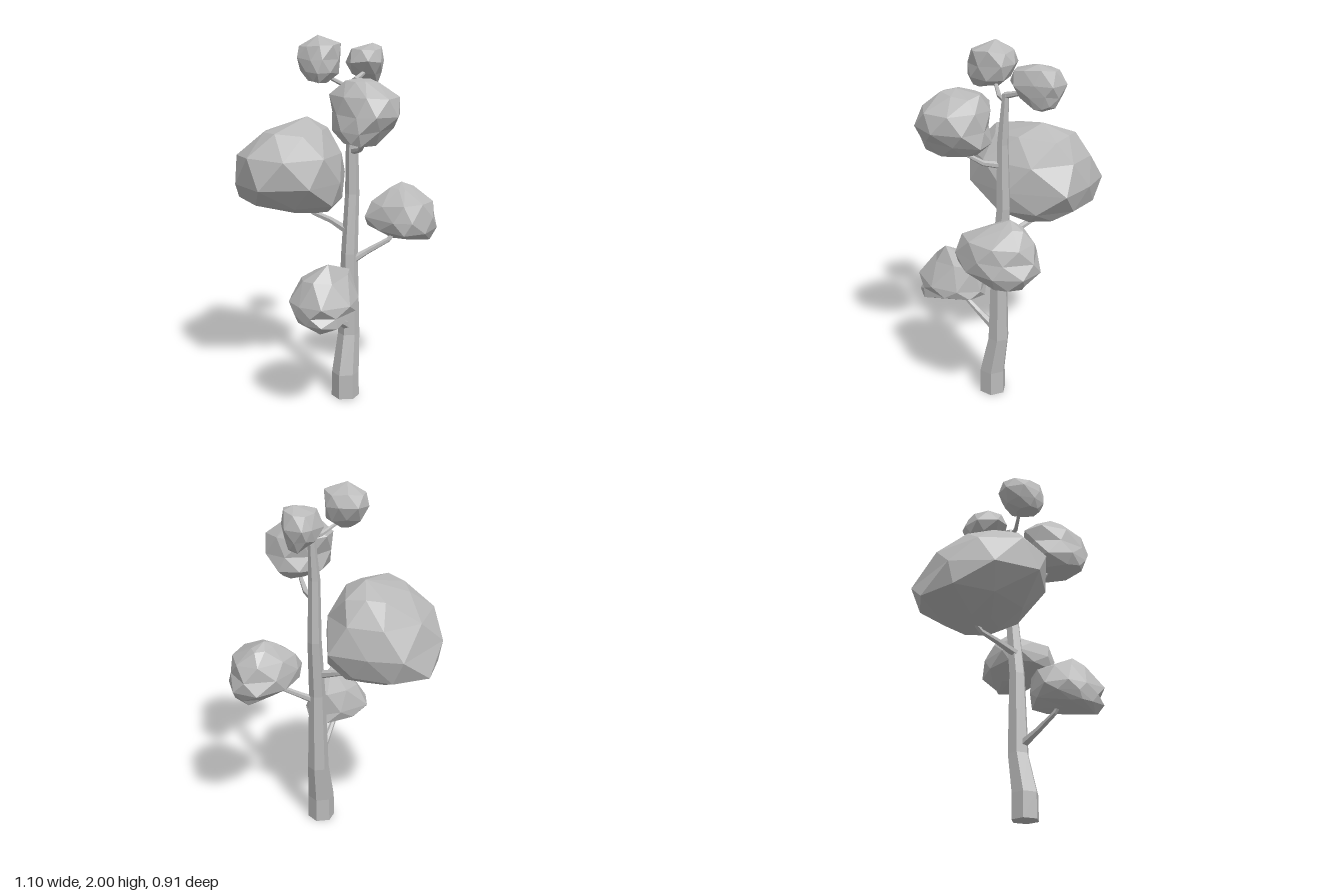
import * as THREE from 'three';

const V = (x, y, z) => new THREE.Vector3(x, y, z);

// Skins a stack of equal-count rings and closes both ends with a fan.
function loft(rings, bottom, top) {
  const out = [];
  const tri = (...pts) => pts.forEach((p) => out.push(p.x, p.y, p.z));
  const n = rings[0].length;
  const last = rings[rings.length - 1];
  for (let i = 0; i < n; i++) {
    const j = (i + 1) % n;
    tri(bottom, rings[0][i], rings[0][j]);
    for (let k = 0; k + 1 < rings.length; k++) {
      const a = rings[k], b = rings[k + 1];
      tri(a[i], b[i], a[j]);
      tri(a[j], b[i], b[j]);
    }
    tri(top, last[j], last[i]);
  }
  const g = new THREE.BufferGeometry();
  g.setAttribute('position', new THREE.Float32BufferAttribute(out, 3));
  g.computeVertexNormals();
  return g;
}

// Tapered limb along [x, y, z, radius] stations; an upright limb keeps level rings.
function limb(path, sides, upright) {
  const pts = path.map((p) => V(p[0], p[1], p[2]));
  const ref = upright ? V(0, 0, 1) : V(0, 1, 0);
  const rings = pts.map((p, k) => {
    const d = upright
      ? V(0, 1, 0)
      : pts[Math.min(k + 1, pts.length - 1)].clone().sub(pts[Math.max(k - 1, 0)]).normalize();
    const u = d.clone().cross(ref).normalize();
    const v = u.clone().cross(d);
    return Array.from({ length: sides }, (_, i) => {
      const a = ((i + 0.5) * 2 * Math.PI) / sides;
      return p.clone()
        .addScaledVector(u, Math.cos(a) * path[k][3])
        .addScaledVector(v, Math.sin(a) * path[k][3]);
    });
  });
  return loft(rings, pts[0], pts[pts.length - 1]);
}

// Faceted leaf clump: a plan outline of [x, z] corners, fitted to each
// [y, xMin, xMax, zMin, zMax] section and turned half a corner per section.
function clump(plan, sections, bottom, top, seed) {
  let s = seed;
  const rnd = () => (s = (s * 16807) % 2147483647) / 2147483647 - 0.5;
  const n = plan.length;
  const rings = sections.map(([y, x0, x1, z0, z1], k) => {
    const outline = plan.map((_, i) => {
      const a = plan[(i + Math.floor(k / 2)) % n];
      const b = plan[(i + Math.ceil(k / 2)) % n];
      return [(a[0] + b[0]) / 2, (a[1] + b[1]) / 2];
    });
    const fit = (axis, lo, hi) => {
      const vals = outline.map((p) => p[axis]);
      const min = Math.min(...vals), max = Math.max(...vals);
      return (v) => lo + ((v - min) / (max - min)) * (hi - lo);
    };
    const fx = fit(0, x0, x1), fz = fit(1, z0, z1);
    return outline.map((p) => V(fx(p[0]), y + rnd() * 0.02, fz(p[1])));
  });
  return loft(rings, V(...bottom), V(...top));
}

export function createModel() {
  const group = new THREE.Group();
  const grey = new THREE.MeshStandardMaterial({ color: 0xbababa, flatShading: true });
  grey.name = 'plain grey';
  const add = (name, geometry) => {
    const mesh = new THREE.Mesh(geometry, grey);
    mesh.name = name;
    group.add(mesh);
  };

  // Six-sided leaning trunk
  add('trunk', limb([
    [0.135, 0, -0.003, 0.077], [0.135, 0.14, -0.003, 0.075], [0.133, 0.36, -0.045, 0.06],
    [0.132, 0.82, -0.05, 0.046], [0.131, 1.15, -0.08, 0.039], [0.13, 1.5, -0.075, 0.032],
    [0.135, 1.77, -0.098, 0.018],
  ], 6, true));

  // Branches, each reaching into its clump
  const branches = {
    lowerFrontBranch: [[0.133, 0.41, -0.02, 0.027], [0.133, 0.47, 0.09, 0.018], [0.133, 0.54, 0.2, 0.014], [0.133, 0.6, 0.25, 0.01]],
    leftBranch: [[0.14, 0.775, -0.04, 0.024], [0.21, 0.825, -0.1, 0.017], [0.31, 0.89, -0.17, 0.014], [0.36, 0.97, -0.22, 0.01]],
    rightBranch: [[0.12, 0.945, -0.05, 0.025], [0, 0.985, -0.08, 0.018], [-0.12, 1.01, -0.1, 0.015], [-0.19, 1.06, -0.11, 0.012]],
    upperLeftBranch: [[0.135, 1.385, -0.07, 0.02], [0.21, 1.405, -0.01, 0.015], [0.26, 1.45, 0.05, 0.012], [0.28, 1.52, 0.09, 0.01]],
    topFrontBranch: [[0.135, 1.735, -0.09, 0.015], [0.1, 1.74, -0.03, 0.012], [0.05, 1.78, 0.03, 0.01], [0.02, 1.83, 0.06, 0.01]],
    topBackBranch: [[0.135, 1.76, -0.095, 0.018], [0.132, 1.785, -0.18, 0.013], [0.125, 1.81, -0.27, 0.01]],
  };
  for (const [name, path] of Object.entries(branches)) add(name, limb(path, 6, false));

  // Leaf clumps
  add('largeRightClump', clump(
    [[0.07, -0.05], [0.03, 0.22], [-0.2, 0.355], [-0.42, 0.235], [-0.55, 0.03], [-0.45, -0.33], [-0.27, -0.365], [-0.06, -0.36]],
    [
      [1.03, -0.36, -0.04, -0.23, 0.02], [1.085, -0.54, 0.055, -0.32, 0.17], [1.21, -0.55, 0.075, -0.36, 0.36],
      [1.36, -0.475, 0.06, -0.33, 0.32], [1.48, -0.37, -0.04, -0.25, 0.21],
    ], [-0.2, 1.03, -0.1], [-0.17, 1.55, -0.115], 11));
  add('topFrontClump', clump(
    [[0.13, 0.08], [0.09, 0.18], [0.03, 0.195], [-0.07, 0.16], [-0.12, 0.07], [-0.09, -0.01], [0, -0.055], [0.08, -0.03]],
    [
      [1.77, -0.03, 0.08, 0.04, 0.18], [1.81, -0.08, 0.115, -0.02, 0.2], [1.88, -0.12, 0.13, -0.055, 0.2],
      [1.95, -0.1, 0.12, -0.03, 0.175],
    ], [0.03, 1.765, 0.1], [0, 2, 0.07], 23));
  add('topBackClump', clump(
    [[0.23, -0.22], [0.18, -0.165], [0.08, -0.155], [0, -0.25], [0.02, -0.36], [0.05, -0.41], [0.15, -0.395], [0.2, -0.32]],
    [
      [1.74, 0.07, 0.17, -0.37, -0.27], [1.79, 0.02, 0.2, -0.395, -0.2], [1.85, 0, 0.23, -0.41, -0.15],
      [1.92, 0.03, 0.21, -0.38, -0.17],
    ], [0.12, 1.71, -0.31], [0.14, 1.95, -0.3], 37));
  add('upperLeftClump', clump(
    [[0.48, 0.1], [0.43, 0.26], [0.33, 0.285], [0.19, 0.23], [0.1, 0.1], [0.17, -0.03], [0.29, -0.1], [0.42, -0.06]],
    [
      [1.465, 0.2, 0.37, -0.03, 0.28], [1.53, 0.13, 0.42, -0.09, 0.29], [1.61, 0.105, 0.48, -0.085, 0.28],
      [1.7, 0.1, 0.455, -0.07, 0.25], [1.77, 0.16, 0.35, -0.03, 0.18],
    ], [0.28, 1.48, 0.1], [0.26, 1.79, 0.12], 41));
  add('leftClump', clump(
    [[0.545, -0.235], [0.5, -0.06], [0.4, -0.035], [0.2, -0.1], [0.18, -0.2], [0.23, -0.37], [0.375, -0.455], [0.5, -0.36]],
    [
      [0.895, 0.29, 0.5, -0.42, -0.2], [0.96, 0.19, 0.535, -0.45, -0.04], [1.02, 0.18, 0.545, -0.455, -0.03],
      [1.1, 0.21, 0.515, -0.415, -0.06], [1.17, 0.29, 0.4, -0.37, -0.2],
    ], [0.385, 0.865, -0.39], [0.335, 1.2, -0.28], 59));
  add('lowerFrontClump', clump(
    [[0.31, 0.29], [0.23, 0.455], [0.09, 0.435], [0, 0.385], [-0.05, 0.27], [0.05, 0.1], [0.18, 0.045], [0.28, 0.13]],
    [
      [0.545, 0.04, 0.28, 0.26, 0.45], [0.59, -0.02, 0.3, 0.06, 0.455], [0.64, -0.05, 0.31, 0.045, 0.455],
      [0.76, 0.02, 0.24, 0.06, 0.39],
    ], [0.2, 0.505, 0.41], [0.18, 0.845, 0.29], 67));

  return group;
}
